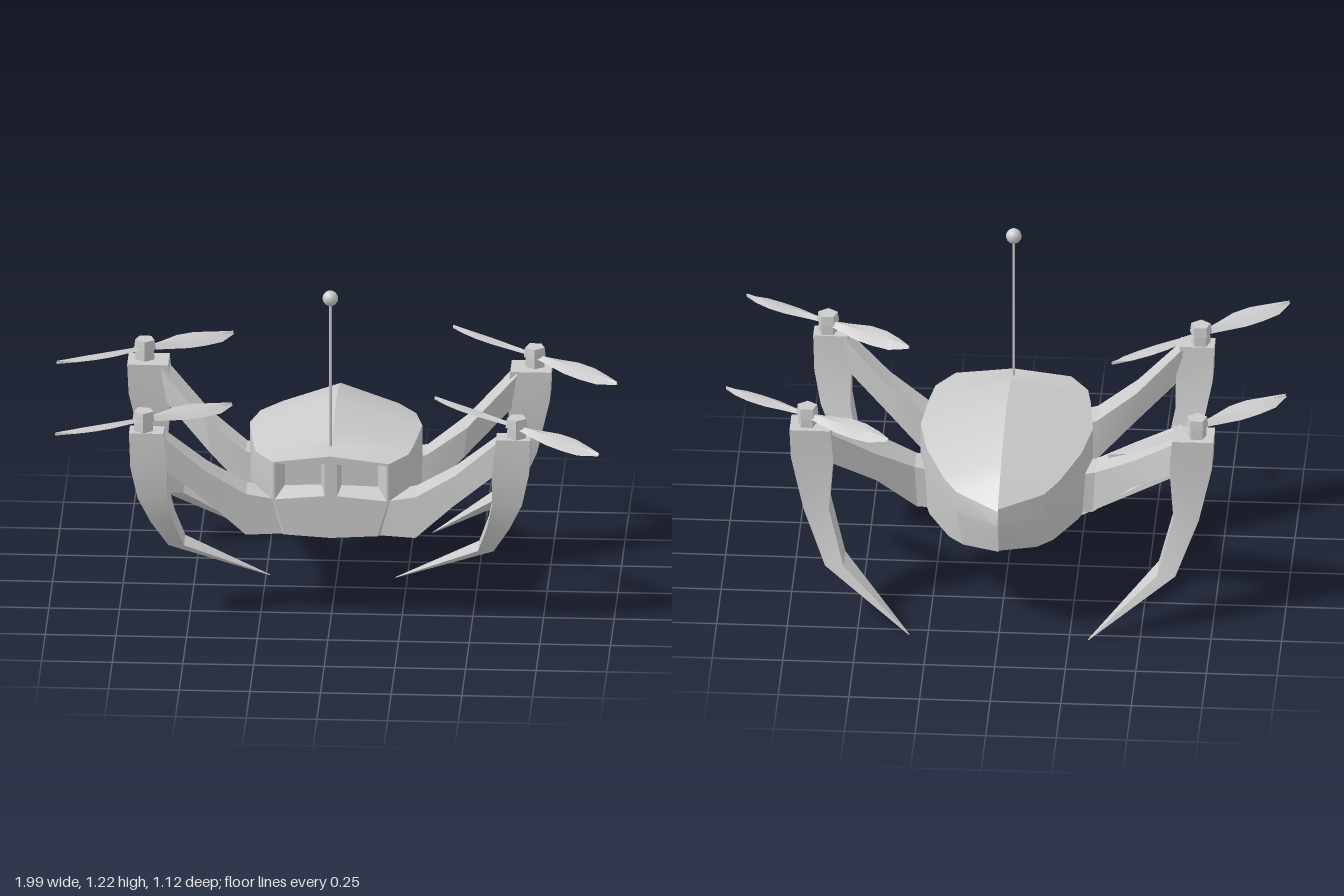
import * as THREE from 'three';
import { toCreasedNormals } from 'three/addons/utils/BufferGeometryUtils.js';

const mat = new THREE.MeshStandardMaterial({ color: 0xcccccc });
const thin = new THREE.MeshStandardMaterial({ color: 0xcccccc, side: THREE.DoubleSide });

function add(parent, name, geometry, material = mat) {
  const mesh = new THREE.Mesh(geometry, material);
  mesh.name = name;
  parent.add(mesh);
  return mesh;
}

// Skin between rings of equal point count; closed skins are turned outward.
function loft(rings, { capStart = true, capEnd = true, crease = 0.35 } = {}) {
  const tris = [];
  const n = rings[0].length;
  for (let i = 0; i < rings.length - 1; i++) {
    for (let j = 0; j < n; j++) {
      const k = (j + 1) % n;
      const a = rings[i][j], b = rings[i][k], c = rings[i + 1][k], d = rings[i + 1][j];
      tris.push([a, b, c], [a, c, d]);
    }
  }
  const last = rings[rings.length - 1];
  for (let j = 1; j < n - 1; j++) {
    if (capStart) tris.push([rings[0][0], rings[0][j + 1], rings[0][j]]);
    if (capEnd) tris.push([last[0], last[j], last[j + 1]]);
  }
  // Signed volume about the first point decides the winding
  const o = new THREE.Vector3(...rings[0][0]);
  let volume = 0;
  for (const t of tris) {
    const [a, b, c] = t.map((p) => new THREE.Vector3(...p).sub(o));
    volume += a.dot(b.cross(c));
  }
  if (volume < 0) tris.forEach((t) => t.reverse());
  const g = new THREE.BufferGeometry();
  g.setAttribute('position', new THREE.Float32BufferAttribute(tris.flat(2), 3));
  return toCreasedNormals(g, crease);
}

// Hull stations: z, half widths (rim, mid, base), heights (ridge, rim, mid, base, belly)
const stations = [
  [0.305, 0.205, 0.205, 0.165, 0.625, 0.6, 0.46, 0.325, 0.315],
  [0.21, 0.27, 0.27, 0.25, 0.643, 0.6, 0.455, 0.32, 0.312],
  [0.12, 0.285, 0.285, 0.275, 0.665, 0.6, 0.455, 0.32, 0.31],
  [-0.07, 0.305, 0.305, 0.3, 0.693, 0.6, 0.46, 0.32, 0.298],
  [-0.22, 0.275, 0.275, 0.265, 0.672, 0.585, 0.46, 0.32, 0.295],
  [-0.38, 0.205, 0.205, 0.185, 0.63, 0.557, 0.46, 0.32, 0.297],
  [-0.45, 0.155, 0.155, 0.13, 0.598, 0.54, 0.46, 0.328, 0.312],
  [-0.55, 0.002, 0.002, 0.002, 0.53, 0.52, 0.47, 0.35, 0.345],
];

const section = ([z, w, wm, wb, ridge, rim, mid, base, belly]) => [
  [0, ridge, z], [w, rim, z], [wm, mid, z], [wb, base, z],
  [0, belly, z], [-wb, base, z], [-wm, mid, z], [-w, rim, z],
];

function buildBody() {
  const body = new THREE.Group();
  body.name = 'body';
  const rings = stations.map(section);
  // The tail edge bulges at mid height and tucks in below
  const tail = rings[rings.length - 1];
  for (const i of [2, 6]) tail[i][2] = -0.565;
  for (const i of [3, 4, 5]) tail[i][2] = -0.525;
  add(body, 'hull', loft(rings, { capStart: false }), thin);

  // Front plate with two sunken windows
  const plate = new THREE.Shape(rings[0].map(([x, y]) => new THREE.Vector2(x, y)));
  const corners = (s, x0, x1, y0, y0b, y1, z) =>
    [[s * x0, y0, z], [s * x1, y0b, z], [s * x1, y1, z], [s * x0, y1, z]];
  for (const s of [1, -1]) {
    const outer = corners(s, 0.022, 0.198, 0.474, 0.458, 0.594, 0.305);
    const inner = corners(s, 0.035, 0.165, 0.495, 0.492, 0.575, 0.25);
    plate.holes.push(new THREE.Path(outer.map(([x, y]) => new THREE.Vector2(x, y))));
    add(body, 'windowRecess', loft([outer, inner], { capStart: false }), thin);
  }
  add(body, 'frontPlate', new THREE.ShapeGeometry(plate), thin).position.z = 0.305;
  return body;
}

// Arm rings: top x, top y, bottom x, bottom y, near z, far z
// Leg rings: y, inner x, outer x, near z, far z
const limbs = {
  front: {
    hub: [0.66, 0.345],
    arm: [
      [0.17, 0.45, 0.17, 0.325, 0.2, 0.295],
      [0.3, 0.48, 0.3, 0.325, 0.2, 0.315],
      [0.44, 0.575, 0.435, 0.46, 0.24, 0.345],
      [0.6, 0.725, 0.59, 0.6, 0.305, 0.38],
    ],
    leg: [
      [0.73, 0.588, 0.71, 0.31, 0.382],
      [0.6, 0.575, 0.705, 0.295, 0.385],
      [0.48, 0.575, 0.68, 0.262, 0.372],
      [0.38, 0.555, 0.635, 0.23, 0.348],
      [0.27, 0.52, 0.575, 0.19, 0.29],
      [0.11, 0.22, 0.224, 0.155, 0.16],
    ],
  },
  rear: {
    hub: [0.69, -0.33],
    arm: [
      [0.2, 0.46, 0.2, 0.325, -0.07, -0.18],
      [0.32, 0.485, 0.31, 0.325, -0.075, -0.18],
      [0.46, 0.575, 0.45, 0.465, -0.11, -0.25],
      [0.63, 0.725, 0.61, 0.6, -0.24, -0.37],
    ],
    leg: [
      [0.73, 0.605, 0.75, -0.265, -0.38],
      [0.62, 0.595, 0.745, -0.267, -0.38],
      [0.42, 0.61, 0.7, -0.28, -0.388],
      [0.22, 0.555, 0.62, -0.33, -0.44],
      [0.005, 0.316, 0.32, -0.53, -0.534],
    ],
  },
};

// Twisted, cambered blade lying along +x
function bladeGeometry() {
  const outline = [[0.02, 0.015, 0.015], [0.08, 0.026, 0.026], [0.16, 0.045, 0.04],
    [0.23, 0.045, 0.042], [0.3, 0.03, 0.037], [0.365, 0.002, 0.006]];
  const rings = outline.map(([r, lead, trail]) => [
    [r, lead * 0.25 - 0.003, -lead], [r, 0.009, 0], [r, -trail * 0.25, trail], [r, 0.003, 0],
  ]);
  return loft(rings, { crease: 0.6 });
}

function buildRotor(s, blade) {
  const rotor = new THREE.Group();
  rotor.name = 'rotor';
  add(rotor, 'shaft', toCreasedNormals(new THREE.CylinderGeometry(0.034, 0.036, 0.06, 5), 0.3)).position.y = 0.745;
  add(rotor, 'hubCap', toCreasedNormals(new THREE.CylinderGeometry(0.036, 0.041, 0.035, 5), 0.3)).position.y = 0.786;
  // The blade pair leans down towards +x
  const pair = new THREE.Group();
  pair.name = 'bladePair';
  pair.position.y = 0.768;
  pair.rotation.z = -0.065;
  for (const turn of [0, Math.PI]) {
    add(pair, 'blade', blade, thin).rotation.y = -s * 0.6 + turn;
  }
  rotor.add(pair);
  return rotor;
}

function buildLimb(name, { hub, arm, leg }, s, blade) {
  const limb = new THREE.Group();
  limb.name = name + (s > 0 ? 'LeftLimb' : 'RightLimb');
  add(limb, 'arm', loft(arm.map(([xt, yt, xb, yb, a, b]) =>
    [[s * xt, yt, a], [s * xt, yt, b], [s * xb, yb, b], [s * xb, yb, a]])));
  add(limb, 'leg', loft(leg.map(([y, xi, xo, a, b]) =>
    [[s * xi, y, a], [s * xi, y, b], [s * xo, y, b], [s * xo, y, a]])));
  const rotor = buildRotor(s, blade);
  rotor.position.set(s * hub[0], 0, hub[1]);
  limb.add(rotor);
  return limb;
}

export function createModel() {
  const model = new THREE.Group();
  model.name = 'quadcopter';
  model.add(buildBody());

  const blade = bladeGeometry();
  for (const s of [1, -1]) {
    for (const name of ['front', 'rear']) model.add(buildLimb(name, limbs[name], s, blade));
  }

  // Antenna with a ball on top
  const antenna = new THREE.Group();
  antenna.name = 'antenna';
  antenna.position.set(-0.005, 0, 0.235);
  add(antenna, 'antennaRod', new THREE.CylinderGeometry(0.005, 0.005, 0.58, 8)).position.y = 0.91;
  add(antenna, 'antennaBall', new THREE.SphereGeometry(0.028, 12, 8)).position.y = 1.2;
  model.add(antenna);
  return model;
}
